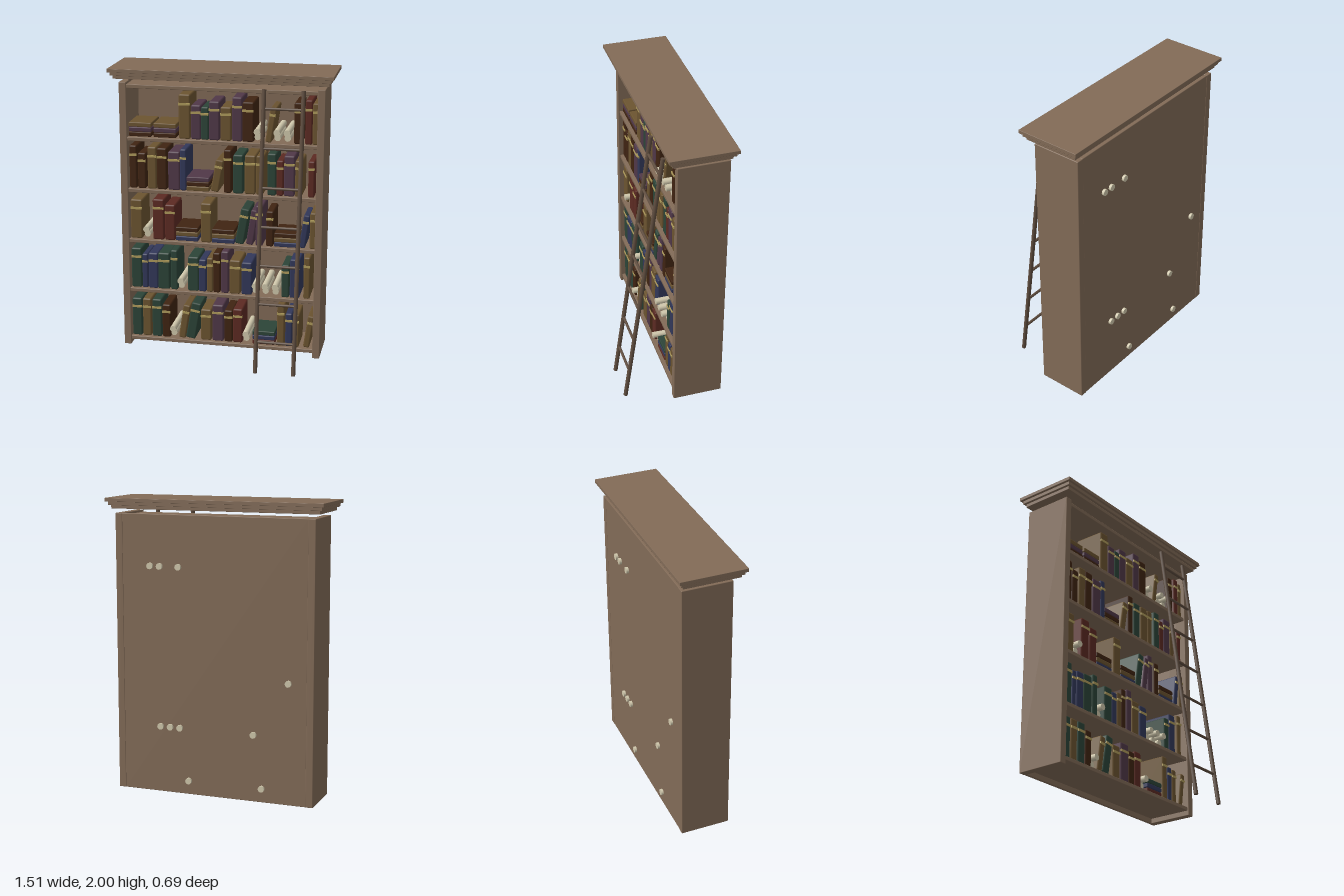
import * as THREE from 'three';
import { RoundedBoxGeometry } from 'three/addons/geometries/RoundedBoxGeometry.js';

const mat = (name, color) => {
  const m = new THREE.MeshStandardMaterial({ color });
  m.name = name;
  return m;
};

export function createModel() {
  const wood = mat('wood', 0x826b57);
  const ladderWood = mat('ladder wood', 0x5f4d3f);
  const gold = mat('gold', 0xb09c5c);
  const parchment = mat('parchment', 0xd0c8ac);
  const leather = {
    t: mat('tan leather', 0x6c5430),
    d: mat('dark brown leather', 0x402412),
    g: mat('green leather', 0x2c4438),
    p: mat('purple leather', 0x503848),
    r: mat('red leather', 0x5c2a22),
    b: mat('blue leather', 0x32385a),
  };

  const model = new THREE.Group();
  model.name = 'bookcase';
  const section = (name) => {
    const g = new THREE.Group();
    g.name = name;
    model.add(g);
    return g;
  };
  const add = (parent, name, geometry, material, x, y, z) => {
    const m = new THREE.Mesh(geometry, material);
    m.name = name;
    m.position.set(x, y, z);
    parent.add(m);
    return m;
  };
  const block = (parent, name, w, h, d, material, x, y, z, radius = 0.004) =>
    add(parent, name, new RoundedBoxGeometry(w, h, d, 1, radius), material, x, y, z);

  // Case: sides, back and six boards
  const cabinet = section('cabinet');
  for (const s of [-1, 1]) {
    block(cabinet, 'sidePanel', 0.05, 1.89, 0.34, wood, s * 0.672, 0.955, -0.14);
  }
  block(cabinet, 'backPanel', 1.3, 1.89, 0.02, wood, 0, 0.955, -0.298);
  const pitch = 0.363;
  for (let i = 0; i < 6; i++) {
    block(cabinet, 'shelf', 1.3, 0.026, 0.31, wood, 0, 0.057 + i * pitch, -0.135);
  }

  // Stepped cornice
  const cornice = section('cornice');
  for (let i = 0; i < 3; i++) {
    const inset = 0.016 * i;
    block(cornice, 'corniceStep', 1.514 - 2 * inset, 0.024, 0.446 - 2 * inset,
      wood, 0, 1.988 - i * 0.0235, -0.122, 0.002);
  }

  // Shelf contents
  const floorOf = (i) => 0.07 + i * pitch;
  const books = section('books');
  const scrolls = section('scrolls');

  // Upright or leaning book with a gold band on its spine
  const book = (floor, [colour, x, w, h, lean = 0]) => {
    const g = new THREE.Group();
    g.name = 'book';
    const d = 0.22;
    block(g, 'cover', w, h, d, leather[colour], 0, 0, 0, Math.min(0.011, w * 0.25));
    add(g, 'spineBand', new THREE.BoxGeometry(w * 0.97, 0.016, 0.008), gold, 0, h * 0.285, d / 2);
    g.position.set(x, floor + (h * Math.cos(lean) + w * Math.sin(lean)) / 2, -0.11);
    g.rotation.z = -lean;
    books.add(g);
  };

  // Three books lying flat, listed from the bottom up
  const pile = (floor, x, colours) => [...colours].forEach((c, k) =>
    block(books, 'flatBook', 0.158, 0.031, 0.22, leather[c], x, floor + 0.018 + k * 0.033, -0.11, 0.006));

  // Pair of rolled scrolls, one on top of the other
  const scrollGeo = new THREE.CylinderGeometry(0.022, 0.022, 0.31, 12).rotateX(Math.PI / 2);
  const scrollPair = (floor, x) => {
    add(scrolls, 'scroll', scrollGeo, parchment, x, floor + 0.034, -0.17);
    add(scrolls, 'scroll', scrollGeo, parchment, x, floor + 0.076, -0.13);
  };

  const fill = (i, bookList, piles, scrollXs) => {
    const floor = floorOf(i);
    bookList.forEach((b) => book(floor, b));
    piles.forEach(([x, colours]) => pile(floor, x, colours));
    scrollXs.forEach((x) => scrollPair(floor, x));
  };

  // Books: colour, centre x, thickness, height, lean
  fill(4, [
    ['t', -0.254, 0.08, 0.305], ['p', -0.175, 0.068, 0.235], ['g', -0.114, 0.053, 0.225],
    ['p', -0.05, 0.073, 0.265], ['t', 0.029, 0.075, 0.23], ['p', 0.106, 0.068, 0.3],
    ['d', 0.18, 0.078, 0.27], ['t', 0.335, 0.042, 0.24, 0.15], ['d', 0.516, 0.053, 0.28],
    ['r', 0.587, 0.048, 0.3], ['t', 0.632, 0.04, 0.28],
  ], [[-0.563, 'dpt'], [-0.39, 'dpt']], [0.245, 0.378, 0.447]);

  fill(3, [
    ['d', -0.616, 0.053, 0.3], ['d', -0.555, 0.058, 0.25], ['t', -0.484, 0.063, 0.295],
    ['d', -0.415, 0.07, 0.29], ['p', -0.33, 0.083, 0.27], ['b', -0.266, 0.045, 0.29],
    ['t', -0.03, 0.055, 0.225, 0.17], ['d', 0.042, 0.053, 0.3], ['g', 0.114, 0.07, 0.27],
    ['t', 0.196, 0.075, 0.27], ['t', 0.262, 0.05, 0.27], ['g', 0.344, 0.06, 0.29],
    ['r', 0.4, 0.048, 0.245], ['p', 0.463, 0.073, 0.28], ['t', 0.526, 0.048, 0.25],
    ['r', 0.612, 0.043, 0.25],
  ], [[-0.164, 'tdp']], []);

  fill(2, [
    ['t', -0.6, 0.083, 0.28], ['r', -0.444, 0.08, 0.29], ['r', -0.362, 0.073, 0.255],
    ['t', -0.108, 0.075, 0.28], ['g', 0.145, 0.06, 0.255, 0.17], ['p', 0.213, 0.05, 0.25, 0.15],
    ['p', 0.262, 0.05, 0.285], ['d', 0.335, 0.05, 0.25], ['b', 0.572, 0.042, 0.235, 0.14],
    ['t', 0.63, 0.043, 0.255],
  ], [[-0.243, 'btd'], [0.012, 'btd'], [0.445, 'btd']], [-0.525]);

  fill(1, [
    ['g', -0.606, 0.073, 0.29], ['b', -0.545, 0.04, 0.25], ['b', -0.486, 0.068, 0.26],
    ['g', -0.41, 0.083, 0.265], ['g', -0.336, 0.05, 0.29], ['g', -0.2, 0.078, 0.25],
    ['b', -0.134, 0.053, 0.235], ['t', -0.082, 0.045, 0.25], ['d', -0.034, 0.05, 0.29],
    ['p', 0.024, 0.053, 0.305], ['t', 0.095, 0.078, 0.245], ['b', 0.178, 0.073, 0.235],
    ['g', 0.447, 0.053, 0.235], ['b', 0.512, 0.068, 0.28], ['t', 0.595, 0.045, 0.3],
  ], [], [-0.285, 0.24, 0.31, 0.38]);

  fill(0, [
    ['g', -0.608, 0.07, 0.28], ['t', -0.537, 0.062, 0.28], ['g', -0.465, 0.068, 0.28],
    ['d', -0.396, 0.06, 0.245], ['t', -0.265, 0.05, 0.25, 0.15], ['g', -0.2, 0.068, 0.27, 0.17],
    ['t', -0.11, 0.075, 0.23], ['p', -0.025, 0.08, 0.27], ['d', 0.05, 0.06, 0.235],
    ['r', 0.116, 0.068, 0.25], ['t', 0.42, 0.053, 0.305], ['b', 0.476, 0.048, 0.245],
    ['t', 0.526, 0.045, 0.24], ['t', 0.615, 0.043, 0.235, 0.14],
  ], [[0.3, 'rbg']], [-0.343, 0.177]);

  // Leaning ladder: two rails and seven rungs
  const ladder = section('ladder');
  const foot = new THREE.Vector2(0.335, 0.005);
  const head = new THREE.Vector2(0.079, 1.9);
  const slope = head.clone().sub(foot);
  const railGeo = new THREE.CylinderGeometry(0.0145, 0.0145, slope.length(), 12)
    .rotateX(Math.atan2(slope.x, slope.y));
  for (const x of [0.3, 0.56]) {
    add(ladder, 'ladderRail', railGeo, ladderWood, x, (foot.y + head.y) / 2, (foot.x + head.x) / 2);
  }
  const rungGeo = new THREE.CylinderGeometry(0.0095, 0.0095, 0.26, 10).rotateZ(Math.PI / 2);
  for (let i = 0; i < 7; i++) {
    const y = 0.22 + i * 0.2592;
    const z = foot.x + slope.x * (y - foot.y) / slope.y;
    add(ladder, 'ladderRung', rungGeo, ladderWood, 0.43, y, z);
  }
  return model;
}
